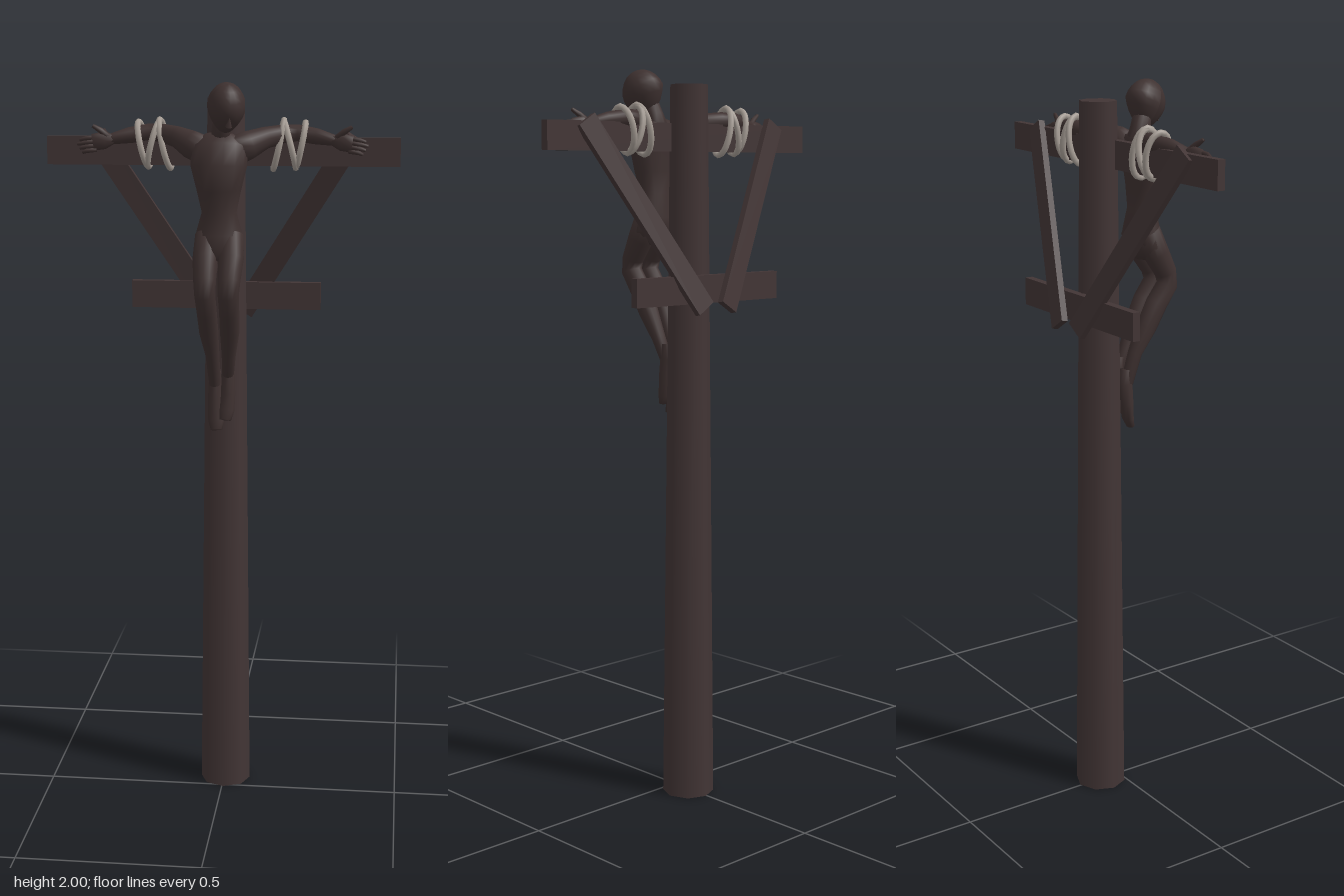
import * as THREE from 'three';

const V = (x, y, z) => new THREE.Vector3(x, y, z);

// Closed skin through elliptical sections [x, y, z, a, b]; a is measured along ref
function loft(sections, ref, sides = 12) {
  const pts = sections.map(s => V(s[0], s[1], s[2]));
  const first = sections[0], last = sections[sections.length - 1];
  const rings = [[...first.slice(0, 3), 0, 0], ...sections, [...last.slice(0, 3), 0, 0]];
  const pos = [], idx = [];
  rings.forEach((s, k) => {
    const i = Math.min(Math.max(k - 1, 0), pts.length - 1);
    const t = pts[Math.min(i + 1, pts.length - 1)].clone().sub(pts[Math.max(i - 1, 0)]).normalize();
    const u = ref.clone().addScaledVector(t, -ref.dot(t)).normalize();
    const v = t.clone().cross(u);
    for (let j = 0; j < sides; j++) {
      const a = j / sides * Math.PI * 2;
      const p = V(s[0], s[1], s[2]).addScaledVector(u, Math.cos(a) * s[3]).addScaledVector(v, Math.sin(a) * s[4]);
      pos.push(p.x, p.y, p.z);
      if (k < rings.length - 1) {
        const A = k * sides + j, B = k * sides + (j + 1) % sides;
        idx.push(A, B, B + sides, A, B + sides, A + sides);
      }
    }
  });
  const g = new THREE.BufferGeometry();
  g.setAttribute('position', new THREE.Float32BufferAttribute(pos, 3));
  g.setIndex(idx);
  g.computeVertexNormals();
  return g;
}

export function createModel() {
  const root = new THREE.Group();
  const mat = (name, color) => {
    const m = new THREE.MeshStandardMaterial({ color });
    m.name = name;
    return m;
  };
  const wood = mat('dark wood', 0x423535);
  const skin = mat('dark figure', 0x3e3130);
  const cord = mat('rope grey', 0xa69d95);
  const add = (name, geo, m, parent = root) => {
    const mesh = new THREE.Mesh(geo, m);
    mesh.name = name;
    parent.add(mesh);
    return mesh;
  };
  const X = V(1, 0, 0), Y = V(0, 1, 0);

  // Tapered post and the two horizontal boards
  add('post', new THREE.CylinderGeometry(0.05, 0.071, 1.96, 8), wood).position.set(0.004, 0.98, -0.06);
  add('crossbar', new THREE.BoxGeometry(0.945, 0.075, 0.022), wood).position.set(-0.002, 1.822, -0.024);
  add('lowerBoard', new THREE.BoxGeometry(0.525, 0.075, 0.022), wood).position.set(-0.002, 1.422, -0.123);

  // Slanted braces behind the boards
  for (const s of [1, -1]) {
    const top = V(s * 0.347, 1.862, -0.037), bottom = V(s * 0.042, 1.372, -0.16);
    const d = top.clone().sub(bottom), len = d.length();
    d.normalize();
    const side = d.clone().cross(V(0, 0, 1)).normalize();
    const brace = add(s > 0 ? 'leftBrace' : 'rightBrace', new THREE.BoxGeometry(0.06, len, 0.018), wood);
    brace.quaternion.setFromRotationMatrix(new THREE.Matrix4().makeBasis(side, d, side.clone().cross(d)));
    brace.position.copy(top).add(bottom).multiplyScalar(0.5);
  }

  // Figure: torso, neck and bowed head
  const figure = new THREE.Group();
  figure.name = 'figure';
  root.add(figure);
  add('torso', loft([
    [0, 1.54, 0.088, 0.05, 0.028], [0, 1.57, 0.08, 0.066, 0.042], [0, 1.61, 0.075, 0.063, 0.045],
    [0, 1.67, 0.075, 0.046, 0.034], [0, 1.73, 0.082, 0.059, 0.044], [0, 1.79, 0.084, 0.074, 0.05],
    [0, 1.84, 0.07, 0.075, 0.04], [0, 1.868, 0.058, 0.042, 0.026],
  ], X, 14), skin, figure);
  add('neck', loft([
    [0, 1.83, 0.058, 0.035, 0.03], [0.006, 1.88, 0.073, 0.026, 0.026], [0.015, 1.93, 0.095, 0.026, 0.028],
  ], X), skin, figure);
  const headGeo = new THREE.SphereGeometry(1, 16, 12);
  const hp = headGeo.attributes.position;
  for (let i = 0; i < hp.count; i++) {
    const y = hp.getY(i), narrow = y < 0 ? 1 + 0.28 * y : 1;
    hp.setXYZ(i, hp.getX(i) * 0.05 * narrow, y * 0.064, hp.getZ(i) * 0.06 * narrow + (y < 0 ? -0.012 * y : 0));
  }
  headGeo.computeVertexNormals();
  const head = add('head', headGeo, skin, figure);
  head.position.set(0.021, 1.942, 0.1);
  head.rotation.set(0.45, 0.25, -0.15);
  add('nose', new THREE.ConeGeometry(0.009, 0.026, 6), skin, head).position.set(0, -0.012, 0.06);

  for (const s of [1, -1]) {
    const side = s > 0 ? 'left' : 'right';
    const M = rows => rows.map(r => [r[0] * s, ...r.slice(1)]);

    // Arm drawn back to the crossbar, then the hand with fingers
    add(side + 'Arm', loft(M([
      [0.03, 1.825, 0.068, 0.04, 0.036], [0.075, 1.843, 0.052, 0.038, 0.034], [0.115, 1.86, 0.018, 0.029, 0.027],
      [0.16, 1.868, -0.018, 0.025, 0.023], [0.2, 1.87, -0.024, 0.023, 0.022],
      [0.25, 1.863, -0.01, 0.021, 0.018], [0.3, 1.853, 0.003, 0.014, 0.012],
    ]), Y), skin, figure);
    add(side + 'Hand', loft(M([
      [0.29, 1.854, 0.002, 0.013, 0.011], [0.315, 1.85, 0.008, 0.023, 0.012], [0.345, 1.845, 0.014, 0.022, 0.01],
    ]), Y, 8), skin, figure);
    for (let f = 0; f < 4; f++) {
      const y = 1.859 - f * 0.011, tip = 0.386 - Math.abs(f - 1) * 0.007;
      add(side + 'Finger', loft(M([
        [0.335, y, 0.013, 0.006, 0.006], [0.362, y - 0.003, 0.019, 0.006, 0.006], [tip, y - 0.008, 0.016, 0.004, 0.004],
      ]), Y, 6), skin, figure);
    }
    add(side + 'Thumb', loft(M([
      [0.3, 1.858, 0.006, 0.008, 0.008], [0.322, 1.876, 0.015, 0.008, 0.007], [0.343, 1.889, 0.02, 0.005, 0.005],
    ]), Y, 6), skin, figure);

    // Bent leg; the right foot hangs a little lower
    const drop = s > 0 ? 0 : 0.028;
    add(side + 'Leg', loft(M([
      [0.031, 1.61, 0.072, 0.033, 0.038], [0.034, 1.55, 0.1, 0.034, 0.036], [0.032, 1.495, 0.133, 0.03, 0.03],
      [0.031, 1.46, 0.139, 0.028, 0.03], [0.03, 1.41, 0.105, 0.027, 0.031], [0.028, 1.35, 0.074, 0.026, 0.029],
      [0.022, 1.28, 0.04, 0.019, 0.02], [0.018, 1.225 - drop, 0.016, 0.016, 0.018],
    ]), X), skin, figure);
    add(side + 'Foot', loft(M([
      [0.018, 1.265 - drop, 0.012, 0.015, 0.016], [0.018, 1.225 - drop, 0.01, 0.018, 0.022],
      [0.018, 1.17 - drop, 0.016, 0.02, 0.019], [0.014, 1.125 - drop, 0.022, 0.022, 0.014],
      [0.012, 1.1 - drop, 0.032, 0.016, 0.009],
    ]), X, 10), skin, figure);

    // Three slanted rope loops binding arm to crossbar
    [[0.148, 0.014], [0.178, -0.016], [0.207, 0.012]].forEach(([cx, tilt], n) => {
      const pts = [];
      for (let i = 0; i < 12; i++) {
        const a = i / 12 * Math.PI * 2;
        const x = cx + tilt * Math.sin(a) + 0.004 * Math.cos(a) + (s < 0 ? 0.008 : 0);
        pts.push(V(s * x, 1.84 + (0.064 - n * 0.003) * Math.sin(a), -0.026 + 0.034 * Math.cos(a)));
      }
      add(side + 'Rope', new THREE.TubeGeometry(new THREE.CatmullRomCurve3(pts, true), 24, 0.0085, 7, true), cord);
    });
  }
  return root;
}
